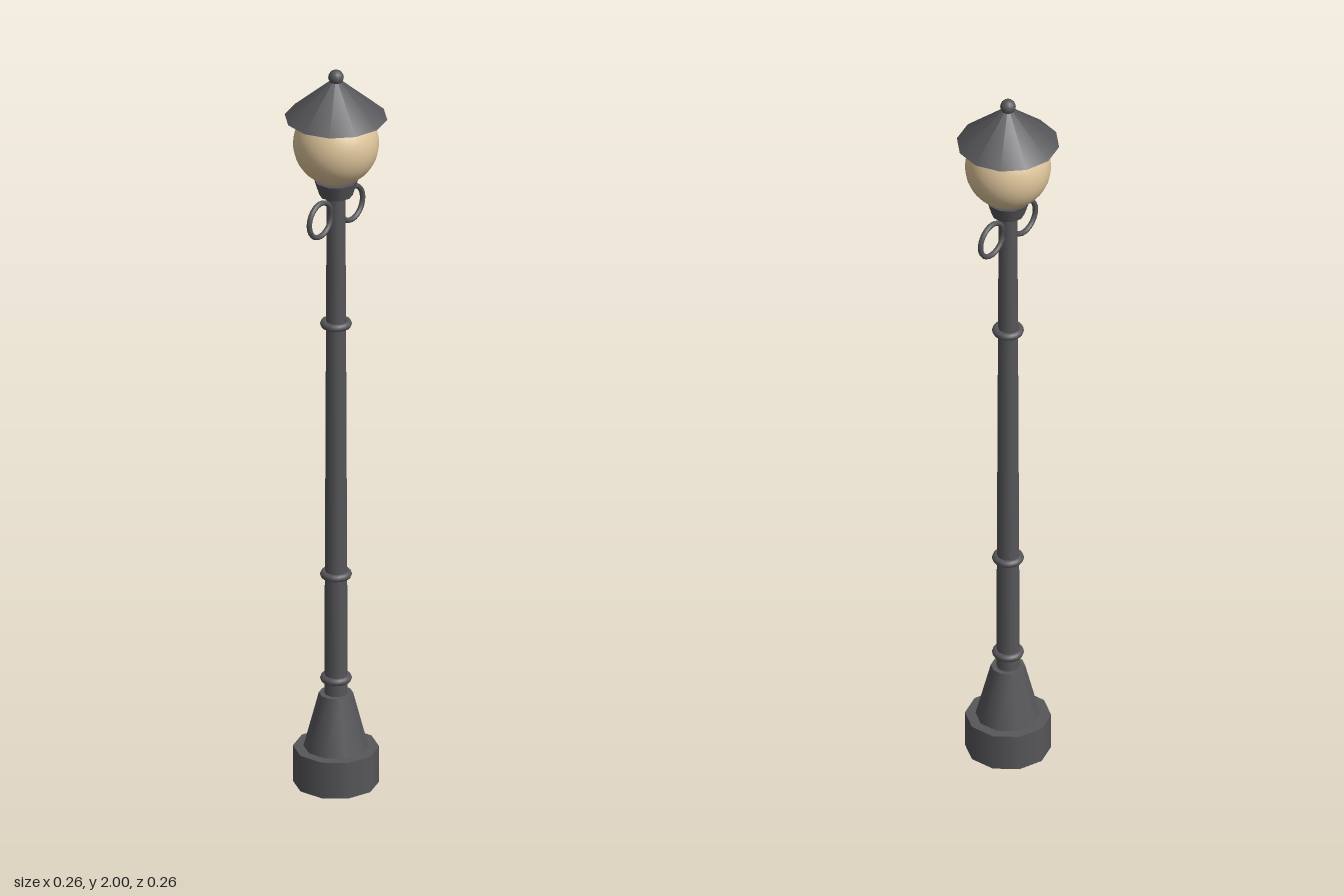
import * as THREE from 'three';

export function createModel() {
  const lamp = new THREE.Group();
  lamp.name = 'streetLamp';

  const iron = new THREE.MeshStandardMaterial({ color: 0x57575b });
  iron.name = 'dark iron';
  const ironShell = new THREE.MeshStandardMaterial({ color: 0x57575b, side: THREE.DoubleSide });
  ironShell.name = 'dark iron shell';
  const glass = new THREE.MeshStandardMaterial({ color: 0xdec59b });
  glass.name = 'warm glass';

  const add = (name, geometry, material, x, y) => {
    const mesh = new THREE.Mesh(geometry, material);
    mesh.name = name;
    mesh.position.set(x, y, 0);
    lamp.add(mesh);
    return mesh;
  };
  // Round section standing between two heights
  const section = (name, rTop, rBottom, y0, y1, sides = 10) =>
    add(name, new THREE.CylinderGeometry(rTop, rBottom, y1 - y0, sides), iron, 0, (y0 + y1) / 2);

  // Hollow foot, open underneath, with a flat top
  add('footWall', new THREE.CylinderGeometry(0.11, 0.11, 0.1, 10, 1, true), ironShell, 0, 0.05);
  const footTop = new THREE.CircleGeometry(0.11, 10);
  footTop.rotateZ(Math.PI / 2).rotateX(-Math.PI / 2);
  add('footTop', footTop, ironShell, 0, 0.1);

  // Tapered plinth, pole and lamp holder
  section('plinth', 0.044, 0.083, 0.1, 0.25);
  section('pole', 0.024, 0.03, 0.25, 1.66);
  section('lampHolder', 0.056, 0.043, 1.65, 1.692);

  // Rings around the pole
  for (const y of [0.292, 0.584, 1.288]) {
    add('poleRing', new THREE.TorusGeometry(0.031, 0.01, 8, 20).rotateX(Math.PI / 2), iron, 0, y);
  }

  // Ornamental hoops on both sides
  for (const side of [-1, 1]) {
    add(side > 0 ? 'leftHoop' : 'rightHoop',
      new THREE.TorusGeometry(0.046, 0.007, 8, 24), iron, side * 0.066, 1.602);
  }

  // Globe, roof and finial
  add('globe', new THREE.SphereGeometry(0.11, 28, 20), glass, 0, 1.795);
  section('roof', 0, 0.132, 1.868, 1.982, 12);
  add('finial', new THREE.SphereGeometry(0.02, 14, 10), iron, 0, 1.98);

  return lamp;
}
